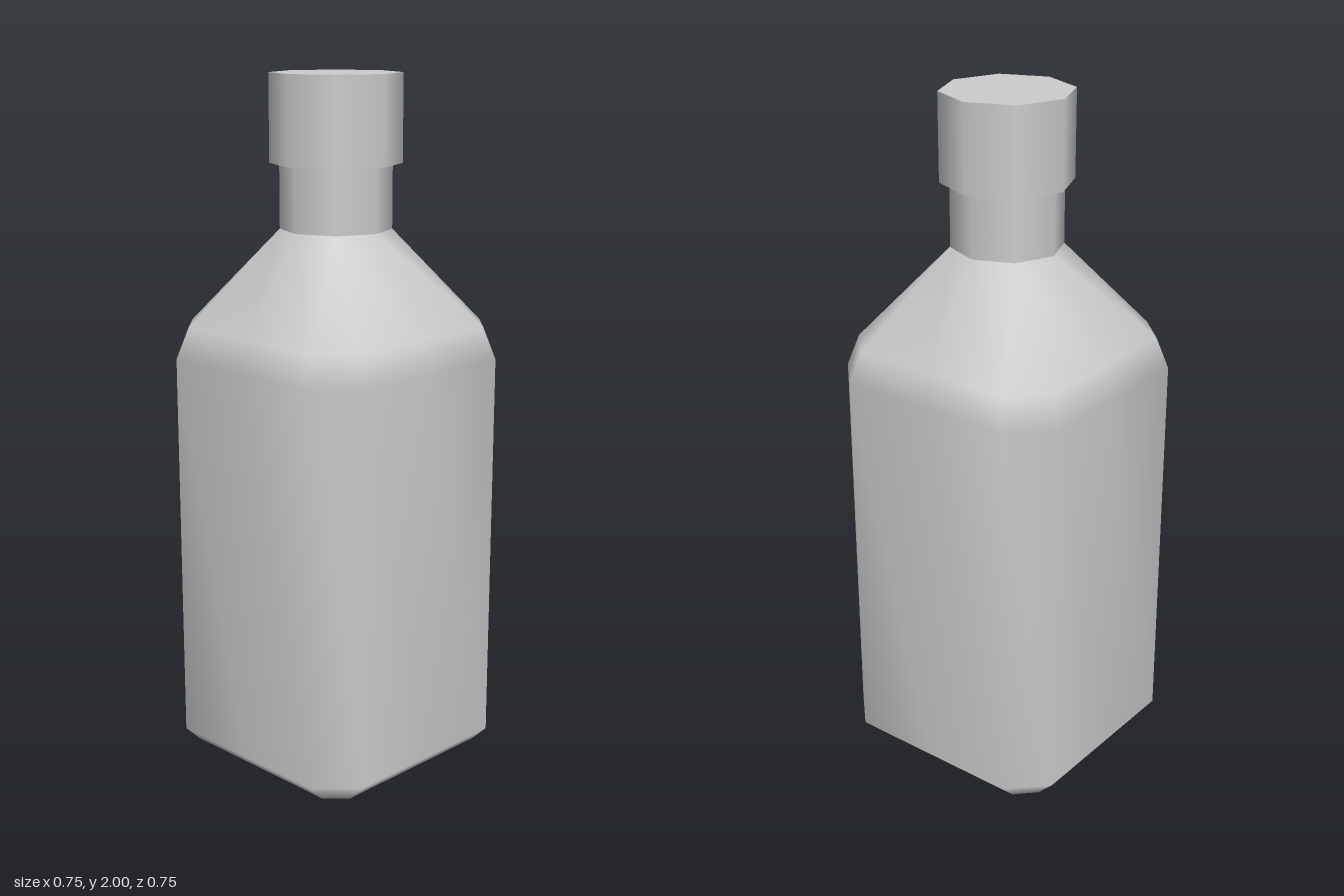
import * as THREE from 'three';
import { mergeVertices } from 'three/addons/utils/BufferGeometryUtils.js';

const NECK_RADIUS = 0.16;

// Square ring with chamfered corners: half width h, flat half length c, and m at mid side
function ring(y, h, c, m = h) {
  const side = [[m, 0], [h, c], [c, h]];
  const points = [];
  for (let i = 0; i < 4; i++) {
    for (const [x, z] of side) {
      let p = [x, z];
      for (let k = 0; k < i; k++) p = [-p[1], p[0]];
      points.push(new THREE.Vector3(p[0], y, p[1]));
    }
  }
  return points;
}

// Skin the rings from bottom to top and close the base
function loft(rings) {
  const positions = [];
  const triangle = (a, b, c) => {
    if (a.distanceTo(b) < 1e-5 || b.distanceTo(c) < 1e-5 || c.distanceTo(a) < 1e-5) return;
    for (const p of [a, b, c]) positions.push(p.x, p.y, p.z);
  };
  const n = rings[0].length;
  const centre = new THREE.Vector3(0, rings[0][0].y, 0);
  for (let j = 0; j < n; j++) {
    const k = (j + 1) % n;
    triangle(centre, rings[0][j], rings[0][k]);
    for (let i = 0; i < rings.length - 1; i++) {
      const low = rings[i], high = rings[i + 1];
      triangle(low[j], high[j], high[k]);
      triangle(low[j], high[k], low[k]);
    }
  }
  const geometry = new THREE.BufferGeometry();
  geometry.setAttribute('position', new THREE.Float32BufferAttribute(positions, 3));
  const smooth = mergeVertices(geometry);
  smooth.computeVertexNormals();
  return smooth;
}

export function createModel() {
  const model = new THREE.Group();
  model.name = 'bottle';
  const grey = new THREE.MeshStandardMaterial({ color: 0xcccccc });
  grey.name = 'grey';

  const add = (name, geometry, y = 0) => {
    const mesh = new THREE.Mesh(geometry, grey);
    mesh.name = name;
    mesh.position.y = y;
    model.add(mesh);
  };

  // Square body whose shoulder narrows to the octagonal neck
  const diagonal = NECK_RADIUS * Math.SQRT1_2;
  add('body', loft([
    ring(0, 0.325, 0.27),
    ring(0.05, 0.375, 0.27),
    ring(1.2, 0.375, 0.27),
    ring(1.29, 0.345, 0.25),
    ring(1.565, diagonal, diagonal, NECK_RADIUS),
  ]));

  // Neck and cap are eight sided
  add('neck', new THREE.CylinderGeometry(NECK_RADIUS, NECK_RADIUS, 0.185, 8, 1, true), 1.6575);
  add('cap', new THREE.CylinderGeometry(0.188, 0.188, 0.25, 8), 1.875);

  return model;
}
